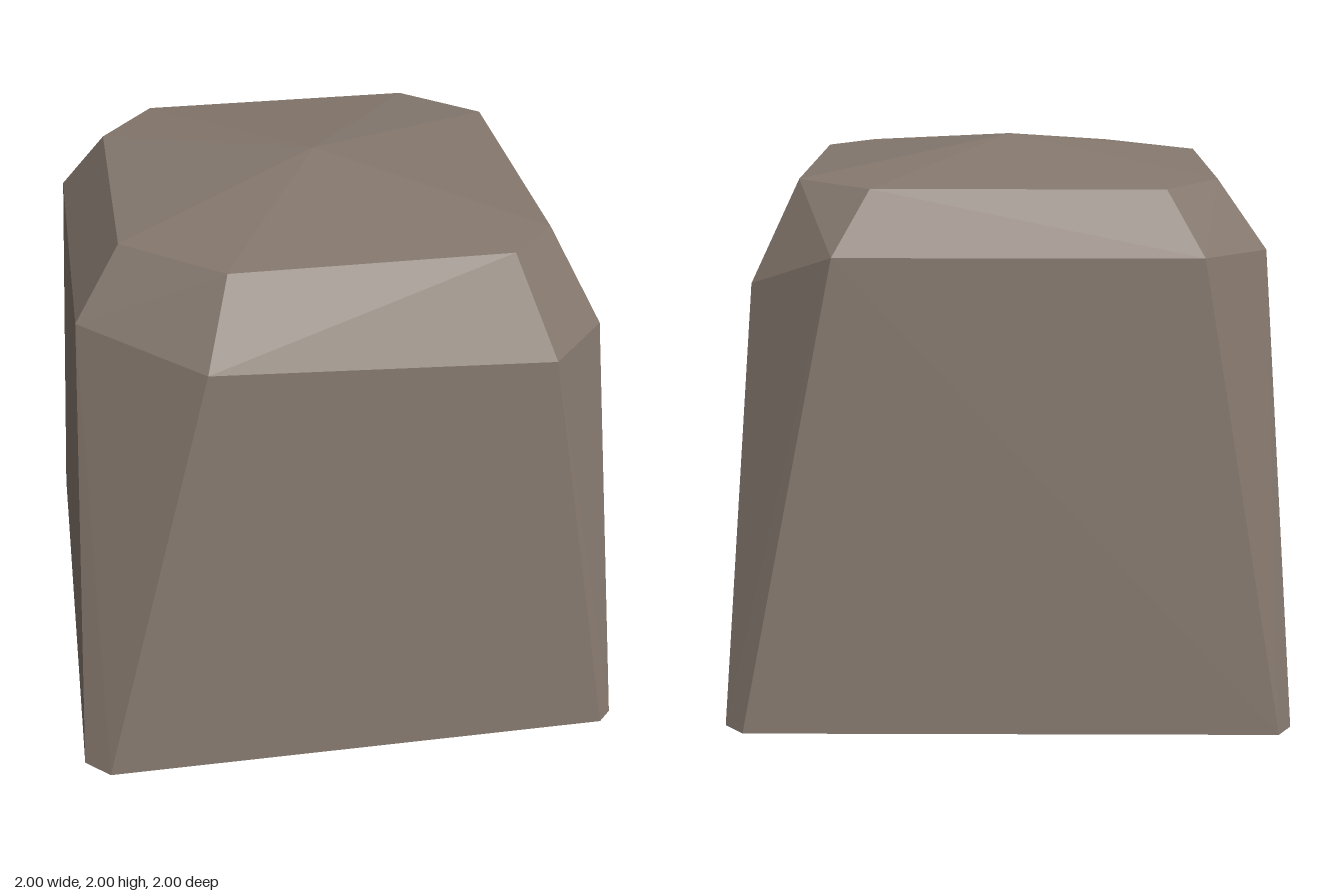
import * as THREE from 'three';
import { ConvexGeometry } from 'three/addons/geometries/ConvexGeometry.js';

// Eight-sided cross-sections, [x, y, z], starting at the front -x corner
const base = [
  [-1, 0, 0.92], [-0.91, 0, 1], [0.95, 0, 1], [1, 0, 0.95],
  [1, 0, -0.93], [0.93, 0, -1], [-0.95, 0, -1], [-1, 0, -0.93],
];
const shoulder = [
  [-0.905, 1.66, 0.56], [-0.49, 1.62, 0.905], [0.695, 1.565, 0.905], [0.905, 1.575, 0.685],
  [0.905, 1.53, -0.6], [0.59, 1.67, -0.905], [-0.66, 1.67, -0.905], [-0.905, 1.65, -0.59],
];
const rim = [
  [-0.74, 1.895, 0.45], [-0.4, 1.905, 0.74], [0.57, 1.905, 0.74], [0.74, 1.9, 0.56],
  [0.74, 1.885, -0.49], [0.47, 1.88, -0.74], [-0.54, 1.88, -0.74], [-0.74, 1.885, -0.48],
];
const peak = [0, 2, 0];

export function createModel() {
  const group = new THREE.Group();
  group.name = 'boulder';

  const stone = new THREE.MeshStandardMaterial({ color: 0x85786e, flatShading: true });
  stone.name = 'brown stone';

  // Tapered, chamfered block with a shallow pointed cap
  const points = [...base, ...shoulder, ...rim, peak].map((p) => new THREE.Vector3(...p));
  const block = new THREE.Mesh(new ConvexGeometry(points), stone);
  block.name = 'stoneBlock';
  group.add(block);

  return group;
}
